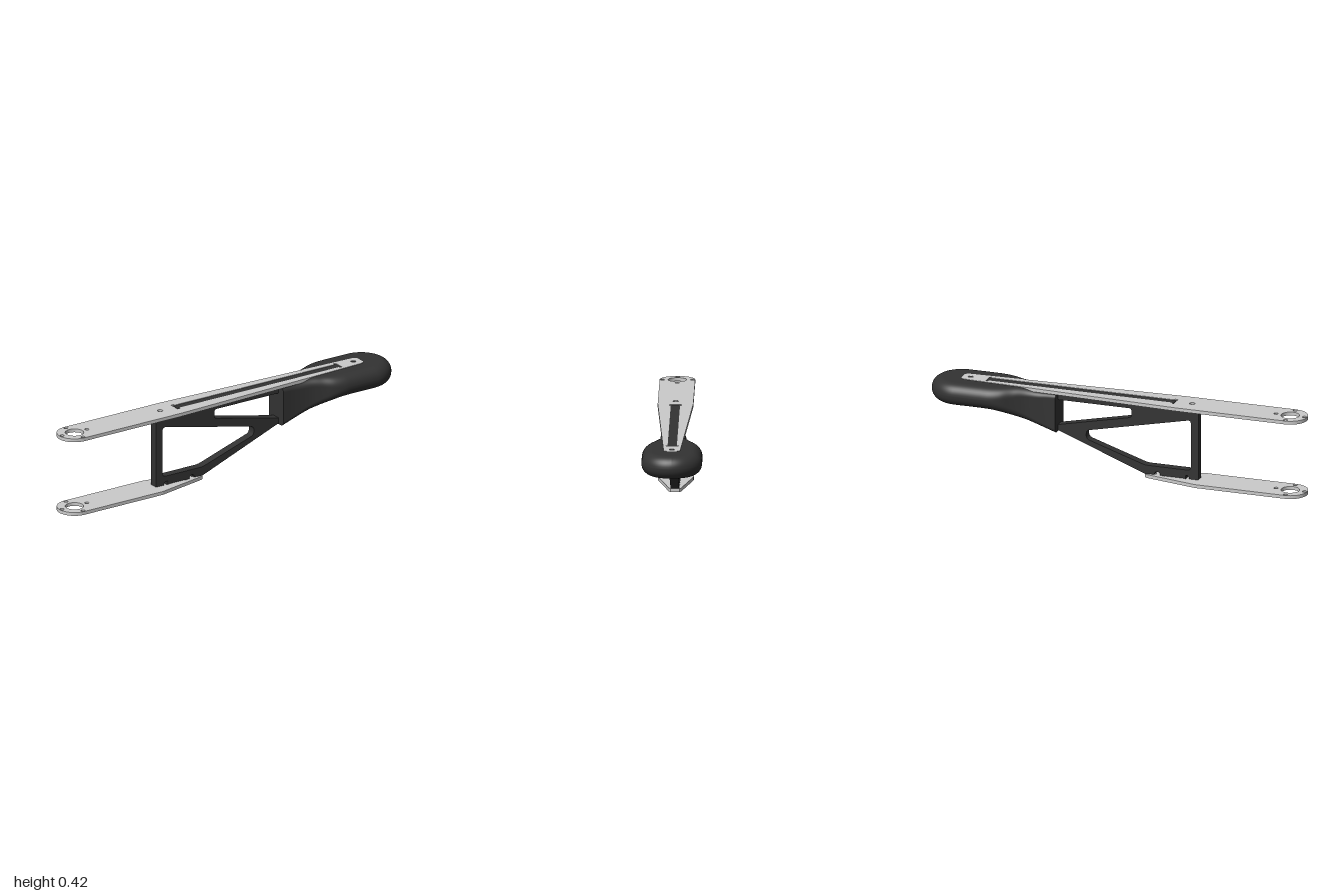
import * as THREE from 'three';

const grey = new THREE.MeshStandardMaterial({ color: 0xcccccc });
const dark = new THREE.MeshStandardMaterial({ color: 0x333333 });

function addMesh(parent, name, geometry, material) {
  const mesh = new THREE.Mesh(geometry, material);
  mesh.name = name;
  parent.add(mesh);
  return mesh;
}

function circlePath(x, y, r) {
  return new THREE.Path().absarc(x, y, r, 0, Math.PI * 2, true);
}

// Closed polygon with every corner rounded by r
function roundedPath(points, r) {
  const path = new THREE.Path();
  const v = points.map(([x, y]) => new THREE.Vector2(x, y));
  v.forEach((p, i) => {
    const prev = v[(i + v.length - 1) % v.length], next = v[(i + 1) % v.length];
    const a = prev.clone().sub(p).setLength(r).add(p);
    const b = next.clone().sub(p).setLength(r).add(p);
    if (i === 0) path.moveTo(a.x, a.y);
    else path.lineTo(a.x, a.y);
    path.quadraticCurveTo(p.x, p.y, b.x, b.y);
  });
  path.closePath();
  return path;
}

// Slot with small relief ears at both ends
function slotPath(x0, x1, h, ear) {
  const w = 0.016, e = h + ear;
  return new THREE.Path([
    [x0, -e], [x0, e], [x0 + w, e], [x0 + w, h], [x1 - w, h], [x1 - w, e],
    [x1, e], [x1, -e], [x1 - w, -e], [x1 - w, -h], [x0 + w, -h], [x0 + w, -e],
  ].map(([x, y]) => new THREE.Vector2(x, y)));
}

// Flat plate: round mounting end, straight run, then a taper given as [x, half width]
function plateGeometry(edge, screwHoles, slot, thickness) {
  const shape = new THREE.Shape();
  shape.absarc(-0.91, 0, 0.09, Math.PI / 2, Math.PI * 1.5, false);
  edge.forEach(([x, h]) => shape.lineTo(x, -h));
  [...edge].reverse().forEach(([x, h]) => shape.lineTo(x, h));
  shape.closePath();
  shape.holes.push(circlePath(-0.91, 0, 0.047), slot);
  for (let i = 0; i < 4; i++) {
    const a = i * Math.PI / 2;
    shape.holes.push(circlePath(-0.91 + 0.076 * Math.cos(a), 0.076 * Math.sin(a), 0.011));
  }
  screwHoles.forEach(x => shape.holes.push(circlePath(x, 0, 0.014)));
  const g = new THREE.ExtrudeGeometry(shape, { depth: thickness, bevelEnabled: false, curveSegments: 24 });
  return g.rotateX(-Math.PI / 2);
}

// Upright truss web with windows and wiring notches
function webGeometry() {
  const s = new THREE.Shape();
  s.moveTo(-0.425, 0.018);
  [-0.36, -0.205].forEach(x => {
    s.lineTo(x - 0.016, 0.018);
    s.absarc(x, 0.02, 0.016, Math.PI, 0, true);
  });
  s.lineTo(-0.14, 0.018);
  s.lineTo(0.335, 0.2);
  s.lineTo(0.45, 0.26);
  s.lineTo(0.45, 0.4);
  s.lineTo(-0.297, 0.4);
  s.absarc(-0.315, 0.399, 0.018, 0, Math.PI, true);
  s.lineTo(-0.425, 0.4);
  s.closePath();
  s.holes.push(
    roundedPath([[-0.385, 0.335], [-0.385, 0.065], [-0.14, 0.065], [0.175, 0.168], [0.175, 0.213]], 0.02),
    roundedPath([[-0.068, 0.36], [-0.068, 0.312], [0.345, 0.222], [0.345, 0.36]], 0.016),
  );
  const g = new THREE.ExtrudeGeometry(s, { depth: 0.044, bevelEnabled: false, curveSegments: 10 });
  return g.translate(0, 0, -0.022);
}

// Rounded-rectangle cross-section as [z, y] pairs, counterclockwise
function section(w, yb, yt, r) {
  const out = [], N = 10;
  const corners = [[w - r, yt - r], [r - w, yt - r], [r - w, yb + r], [w - r, yb + r]];
  corners.forEach(([cz, cy], k) => {
    for (let i = 0; i <= N; i++) {
      const a = (k + i / N) * Math.PI / 2;
      out.push([cz + r * Math.cos(a), cy + r * Math.sin(a)]);
    }
  });
  return out;
}

// Foot: sections lofted along the neck, the last one swung round to close the toe
function footGeometry() {
  const table = [[0.326, 0.065, 0.192], [0.4, 0.067, 0.216], [0.48, 0.08, 0.244], [0.54, 0.104, 0.264],
    [0.6, 0.136, 0.285], [0.65, 0.15, 0.296], [0.7, 0.153, 0.299], [0.847, 0.153, 0.299]];
  const curve = new THREE.CatmullRomCurve3(table.map(p => new THREE.Vector3(...p)), false, 'centripetal');
  const rows = [], steps = 42, swing = 16;
  let last;
  for (let i = 0; i <= steps; i++) {
    const p = curve.getPoint(i / steps);
    const k = THREE.MathUtils.smoothstep(p.x, 0.33, 0.66);
    const top = 0.4 + 0.016 * THREE.MathUtils.smoothstep(p.x, 0.4, 0.53);
    last = section(p.y, p.z, top, 0.022 + 0.035 * k);
    rows.push(last.map(([z, y]) => [p.x, y, z]));
  }
  for (let i = 1; i <= swing; i++) {
    const a = i / swing * Math.PI / 2;
    rows.push(last.map(([z, y]) => [0.847 + Math.abs(z) * Math.sin(a), y, z * Math.cos(a)]));
  }
  const n = last.length, index = [];
  for (let i = 0; i < rows.length - 1; i++) {
    for (let j = 0; j < n; j++) {
      const a = i * n + j, d = i * n + (j + 1) % n;
      index.push(a, a + n, d + n, a, d + n, d);
    }
  }
  const g = new THREE.BufferGeometry();
  g.setAttribute('position', new THREE.Float32BufferAttribute(rows.flat(2), 3));
  g.setIndex(index);
  g.computeVertexNormals();
  return g;
}

export function createModel() {
  const model = new THREE.Group();
  model.name = 'legAssembly';

  // Plates
  const topEdge = [[-0.32, 0.09], [0.82, 0.042], [0.835, 0.036], [0.842, 0.025]];
  addMesh(model, 'topPlate', plateGeometry(topEdge, [-0.385, 0.8], slotPath(-0.298, 0.712, 0.021, 0.01), 0.018), grey)
    .position.y = 0.4;
  const bottomEdge = [[-0.43, 0.09], [-0.15, 0.03], [-0.14, 0.022]];
  addMesh(model, 'bottomPlate', plateGeometry(bottomEdge, [-0.4, -0.18], slotPath(-0.36, -0.23, 0.021, 0.004), 0.018), grey);

  // Web and the tabs that sit in the plate slots
  addMesh(model, 'web', webGeometry(), dark);
  addMesh(model, 'topTab', new THREE.BoxGeometry(1.0, 0.025, 0.042), dark).position.set(0.207, 0.4035, 0);
  addMesh(model, 'bottomTab', new THREE.BoxGeometry(0.125, 0.03, 0.042), dark).position.set(-0.295, 0.018, 0);

  // Foot with its flat rear face
  addMesh(model, 'foot', footGeometry(), dark);
  const face = new THREE.Shape(section(0.065, 0.192, 0.4, 0.022).map(([z, y]) => new THREE.Vector2(z, y)));
  const cap = addMesh(model, 'footRearFace', new THREE.ShapeGeometry(face), dark);
  cap.rotation.y = -Math.PI / 2;
  cap.position.x = 0.326;

  return model;
}
